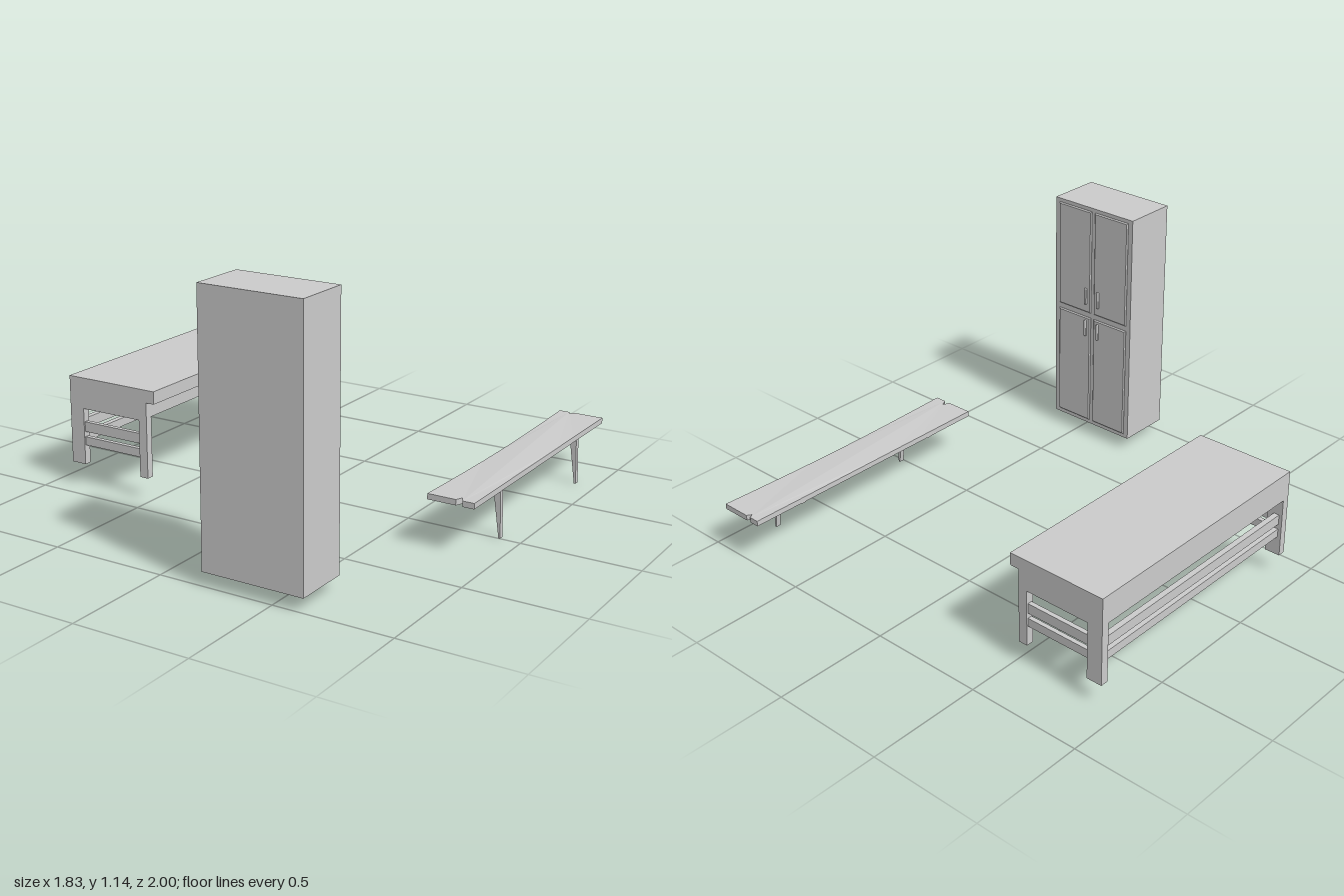
import * as THREE from 'three';
import { RoundedBoxGeometry } from 'three/addons/geometries/RoundedBoxGeometry.js';

const grey = new THREE.MeshStandardMaterial({ color: 0xcccccc, flatShading: true });

function add(parent, name, geometry) {
  const mesh = new THREE.Mesh(geometry, grey);
  mesh.name = name;
  parent.add(mesh);
  return mesh;
}

// box given by its minimum and maximum along each axis
function box(parent, name, x0, x1, y0, y1, z0, z1) {
  const mesh = add(parent, name, new THREE.BoxGeometry(x1 - x0, y1 - y0, z1 - z0));
  mesh.position.set((x0 + x1) / 2, (y0 + y1) / 2, (z0 + z1) / 2);
  return mesh;
}

function group(parent, name) {
  const g = new THREE.Group();
  g.name = name;
  parent.add(g);
  return g;
}

const outline = (points) => new THREE.Shape(points.map(([x, y]) => new THREE.Vector2(x, y)));

function createWorkbench(parent) {
  const bench = group(parent, 'workbench');
  // thick top that overhangs on one long side
  box(bench, 'benchTop', -0.92, -0.475, 0.425, 0.48, -0.76, 0.405);
  box(bench, 'benchBody', -0.92, -0.515, 0.358, 0.425, -0.76, 0.405);
  const rails = [[0.24, 0.284], [0.18, 0.217]];
  for (const [z0, z1] of [[-0.76, -0.725], [0.372, 0.405]]) {
    const mid = (z0 + z1) / 2;
    box(bench, 'backLeg', -0.92, -0.85, 0.095, 0.358, z0, z1);
    box(bench, 'frontLeg', -0.555, -0.515, 0.095, 0.358, z0, z1);
    box(bench, 'endApron', -0.85, -0.555, 0.344, 0.358, z0, z1);
    for (const [y0, y1] of rails) box(bench, 'endRail', -0.85, -0.555, y0, y1, mid - 0.01, mid + 0.01);
  }
  // long rails on the back only
  for (const [y0, y1] of rails) box(bench, 'longRail', -0.905, -0.88, y0, y1, -0.725, 0.372);
}

function createCabinet(parent) {
  const cabinet = group(parent, 'cabinet');
  const cx = 0.4125;
  box(cabinet, 'cabinetBody', 0.192, 0.633, 0.057, 1.142, 0.757, 1.0);
  const rows = [
    { y0: 0.075, y1: 0.605, handle: 0.55 },
    { y0: 0.63, y1: 1.125, handle: 0.71 },
  ];
  for (const { y0, y1, handle } of rows) {
    for (const side of [-1, 1]) {
      // thin door with bevelled edges
      const w = 0.094, h = (y1 - y0) / 2, b = 0.005;
      const shape = outline([[-w + b, -h + b], [w - b, -h + b], [w - b, h - b], [-w + b, h - b]]);
      const door = add(cabinet, 'door', new THREE.ExtrudeGeometry(shape, {
        depth: 0.001, bevelEnabled: true, bevelSize: b, bevelThickness: 0.005, bevelSegments: 1,
      }));
      door.position.set(cx + side * 0.103, (y0 + y1) / 2, 0.756);
      const grip = add(cabinet, 'doorHandle', new RoundedBoxGeometry(0.014, 0.08, 0.012, 2, 0.005));
      grip.position.set(cx + side * 0.036, handle, 0.749);
    }
  }
}

function createPlankBench(parent) {
  const plankBench = group(parent, 'plankBench');
  // plank outline in x and z: waisted sides, a split in each end
  const steps = 8, z0 = -1, z1 = 0.24;
  const side = (s) => Array.from({ length: steps + 1 }, (_, i) => {
    const t = i / steps;
    return [0.813 + s * (0.101 - 0.007 * Math.sin(Math.PI * t)), z0 + (z1 - z0) * t];
  });
  const plan = [
    ...side(1),
    [0.863, z1], [0.848, z1 - 0.03], [0.835, z1],
    ...side(-1).reverse(),
    [0.757, z0], [0.768, z0 + 0.02], [0.78, z0],
  ];
  const plank = new THREE.ExtrudeGeometry(outline(plan), { depth: 0.024, bevelEnabled: false });
  plank.rotateX(Math.PI / 2);
  plank.translate(0, 0.226, 0);
  // slight sag along the length
  const p = plank.attributes.position;
  for (let i = 0; i < p.count; i++) {
    const t = (p.getZ(i) - z0) / (z1 - z0);
    p.setY(i, p.getY(i) - 0.006 * Math.sin(Math.PI * t));
  }
  plank.computeVertexNormals();
  add(plankBench, 'plank', plank);

  // bent brackets: a tapered arm under the plank and one tapered leg
  const profile = outline([
    [0.716, 0.196], [0.88, 0.172], [0.904, 0], [0.912, 0], [0.906, 0.206], [0.716, 0.206],
  ]);
  for (const z of [-0.748, -0.012]) {
    const leg = add(plankBench, 'bracketLeg',
      new THREE.ExtrudeGeometry(profile, { depth: 0.022, bevelEnabled: false }));
    leg.position.z = z - 0.011;
  }
}

export function createModel() {
  const model = new THREE.Group();
  model.name = 'furnitureSet';
  createWorkbench(model);
  createCabinet(model);
  createPlankBench(model);
  return model;
}
